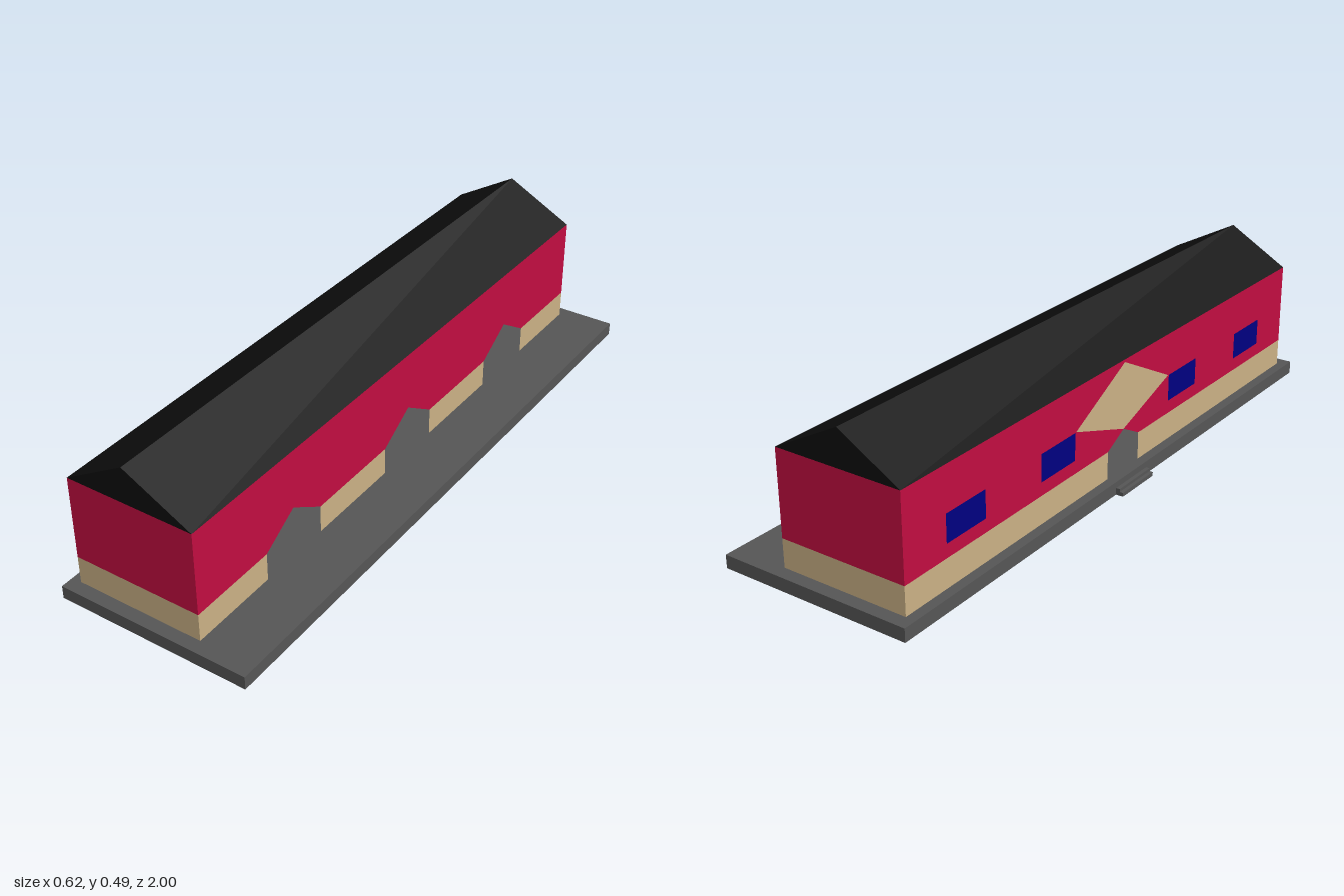
import * as THREE from 'three';

const paint = (color) => new THREE.MeshStandardMaterial({ color, side: THREE.DoubleSide, flatShading: true });

const FLOOR = 0.04, BAND = 0.125, EAVE = 0.38, RIDGE = 0.49;
const X0 = -0.26, X1 = 0.14, Z = 0.96;

export function createModel() {
  const model = new THREE.Group();
  const stone = paint(0x555555), tan = paint(0xc9b084), red = paint(0xc00d40);
  const black = paint(0x0d0d0d), navy = paint(0x000080);

  const add = (name, geometry, material, parent = model) => {
    const mesh = new THREE.Mesh(geometry, material);
    mesh.name = name;
    parent.add(mesh);
    return mesh;
  };
  const group = (name) => {
    const g = new THREE.Group();
    g.name = name;
    model.add(g);
    return g;
  };
  const box = (name, x0, x1, y0, y1, halfZ, material) =>
    add(name, new THREE.BoxGeometry(x1 - x0, y1 - y0, halfZ * 2), material)
      .position.set((x0 + x1) / 2, (y0 + y1) / 2, 0);

  const outline = (pts) => new THREE.Shape(pts.map(([a, b]) => new THREE.Vector2(a, b)));
  const rect = (a0, a1, b0, b1) => [[a0, b0], [a1, b0], [a1, b1], [a0, b1]];

  // Flat panel in the z-y plane at a given x, with optional holes
  const sidePanel = (name, x, pts, material, parent, holes = []) => {
    const shape = outline(pts);
    holes.forEach((h) => shape.holes.push(outline(h)));
    const geometry = new THREE.ShapeGeometry(shape).rotateY(-Math.PI / 2).translate(x, 0, 0);
    return add(name, geometry, material, parent);
  };

  // Platform and two entrance steps
  box('platform', -0.29, 0.31, 0, FLOOR, 1, stone);
  box('lowerStep', -0.313, -0.29, 0, 0.012, 0.08, stone);
  box('upperStep', -0.302, -0.29, 0, 0.021, 0.08, stone);

  // End walls
  for (const s of [-1, 1]) {
    const end = group(s > 0 ? 'frontEndWall' : 'backEndWall');
    const panel = (name, y0, y1, material) => {
      const geometry = new THREE.ShapeGeometry(outline(rect(X0, X1, y0, y1)));
      add(name, geometry, material, end).position.z = s * Z;
    };
    panel('endWallBase', FLOOR, BAND, tan);
    panel('endWallUpper', BAND, EAVE, red);
  }

  // Platform-side wall with three pointed openings
  const openWall = group('platformSideWall');
  const centres = [-0.56, 0, 0.56], half = 0.12;
  const upper = [[-Z, BAND]];
  let start = -Z;
  for (const c of centres) {
    sidePanel('wallBase', X1, rect(start, c - half, FLOOR, BAND), tan, openWall);
    upper.push([c - half, BAND], [c, 0.2], [c + half, BAND]);
    start = c + half;
  }
  sidePanel('wallBase', X1, rect(start, Z, FLOOR, BAND), tan, openWall);
  upper.push([Z, BAND], [Z, EAVE], [-Z, EAVE]);
  sidePanel('wallUpper', X1, upper, red, openWall);

  // Entrance wall, mirrored about the door
  const entranceWall = group('entranceWall');
  const doorHalf = 0.08, doorPeak = 0.167, gableHalf = 0.24, gableSide = 0.249, gableTop = 0.372;
  for (const s of [-1, 1]) {
    const mirror = (pts) => pts.map(([z, y]) => [s * z, y]);
    sidePanel('wallBase', X0, mirror(rect(doorHalf, Z, FLOOR, BAND)), tan, entranceWall);
    const windows = [0.244, 0.642].map((z) => mirror(rect(z, z + 0.157, 0.165, 0.248)));
    sidePanel('wallUpper', X0, mirror([
      [doorHalf, BAND], [Z, BAND], [Z, EAVE], [0, EAVE],
      [0, gableTop], [gableHalf, gableSide], [0, doorPeak],
    ]), red, entranceWall, windows);
    windows.forEach((w) => sidePanel('window', X0, w, navy, entranceWall));
  }
  sidePanel('doorGable', X0, [
    [0, doorPeak], [gableHalf, gableSide], [0, gableTop], [-gableHalf, gableSide],
  ], tan, entranceWall);

  // Gabled roof, ridge slightly off centre
  const roof = new THREE.ExtrudeGeometry(outline([[X0, EAVE], [X1, EAVE], [-0.07, RIDGE]]),
    { depth: Z * 2, bevelEnabled: false });
  add('roof', roof.translate(0, 0, -Z), black);

  return model;
}
